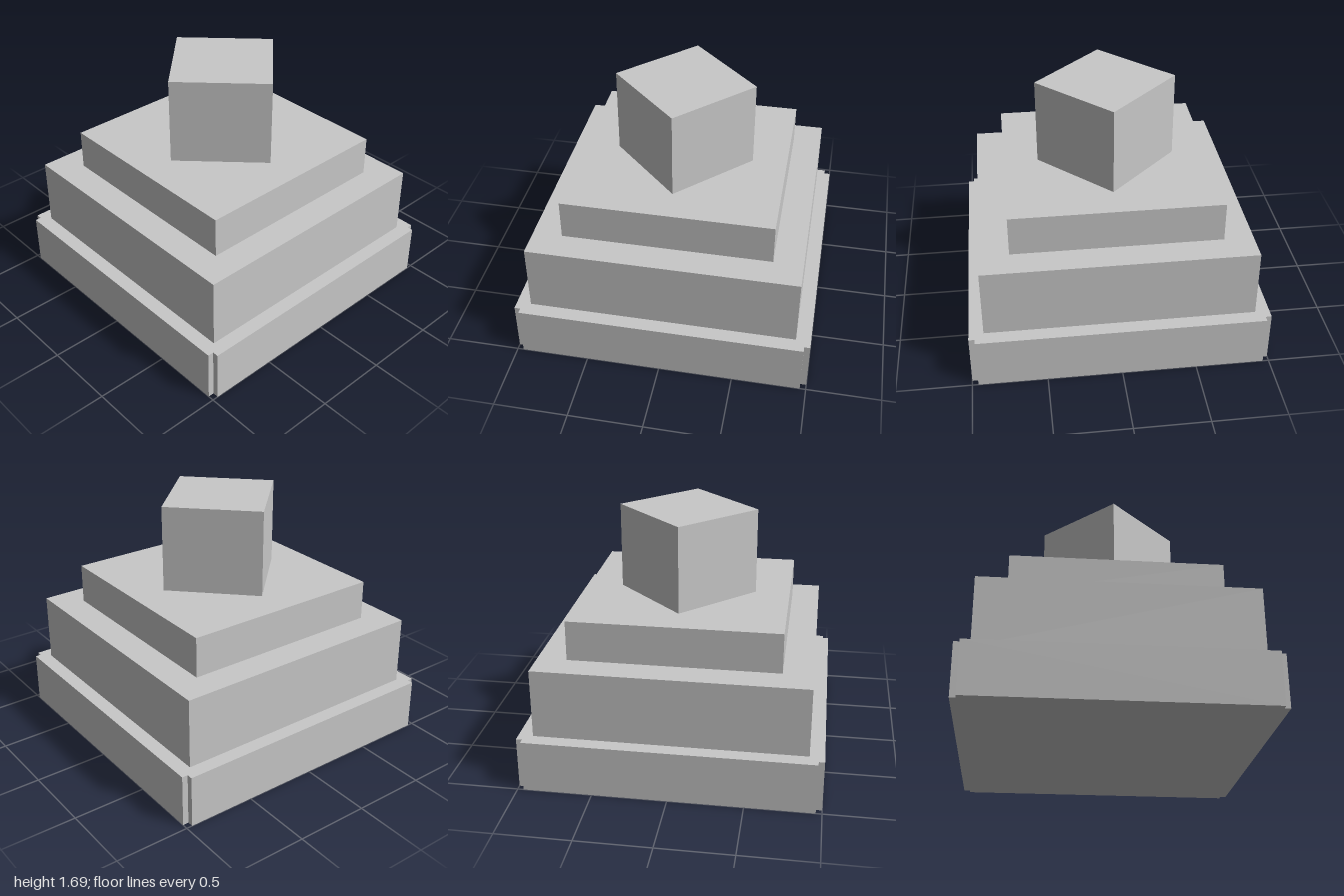
import * as THREE from 'three';

const stone = new THREE.MeshStandardMaterial({ color: 0xc8c8c8 });
stone.name = 'stone grey';

// Square block of a given width between two heights
function block(name, width, bottom, top) {
  const mesh = new THREE.Mesh(new THREE.BoxGeometry(width, top - bottom, width), stone);
  mesh.name = name;
  mesh.position.y = (bottom + top) / 2;
  return mesh;
}

// Square plinth with a small square notch cut from each corner
function notchedPlinth(half, notch, height) {
  const inner = half - notch;
  const points = [];
  for (let i = 0; i < 4; i++) {
    for (const [x, y] of [[half, inner], [inner, inner], [inner, half]]) {
      points.push(new THREE.Vector2(x, y).rotateAround(new THREE.Vector2(), i * Math.PI / 2));
    }
  }
  const geometry = new THREE.ExtrudeGeometry(new THREE.Shape(points), { depth: height, bevelEnabled: false });
  geometry.rotateX(-Math.PI / 2);
  const mesh = new THREE.Mesh(geometry, stone);
  mesh.name = 'plinth';
  return mesh;
}

export function createModel() {
  const model = new THREE.Group();
  model.name = 'steppedPedestal';

  // Stepped tiers
  model.add(notchedPlinth(1, 0.04, 0.355));
  model.add(block('middleTier', 1.804, 0.355, 0.827));
  model.add(block('upperTier', 1.408, 0.827, 1.1));

  // Crowning block, turned corner to the front
  const crown = block('crownBlock', 0.47 * Math.SQRT2, 1.1, 1.69);
  crown.rotation.y = Math.PI / 4;
  model.add(crown);

  return model;
}
